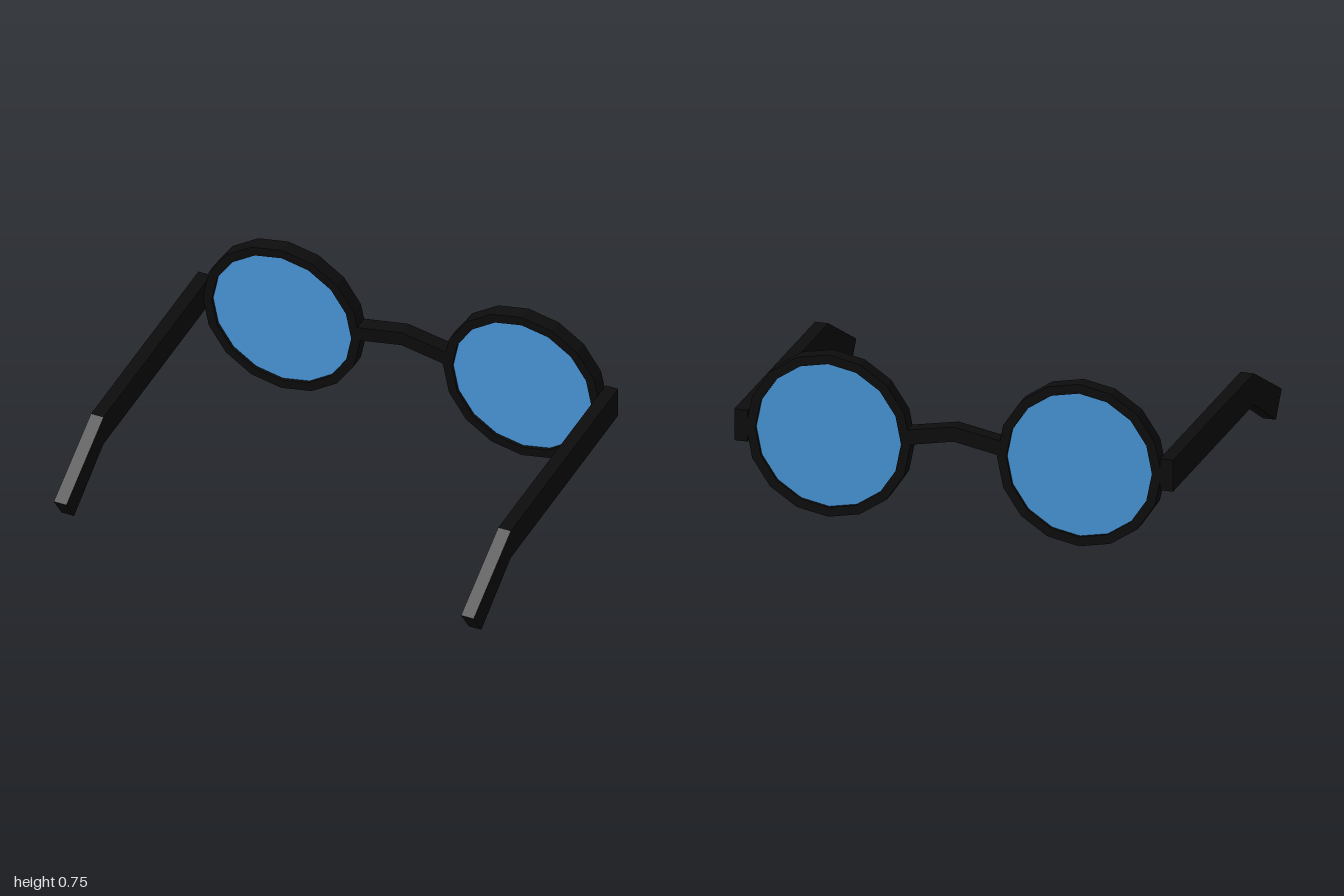
import * as THREE from 'three';

const black = new THREE.MeshStandardMaterial({ color: 0x0c0c0c, flatShading: true });
const blue = new THREE.MeshStandardMaterial({ color: 0x4a9ade, flatShading: true });

const SIDES = 16, BACK = -0.75, DEPTH = 0.07;
const LENS_X = 0.572, LENS_Y = 0.376, OUTER = 0.375, INNER = 0.332;

// Corners of a regular polygon around the origin
function ring(radius) {
  return Array.from({ length: SIDES }, (_, i) => {
    const a = (i / SIDES) * Math.PI * 2;
    return new THREE.Vector2(Math.cos(a) * radius, Math.sin(a) * radius);
  });
}

function extrude(name, shape, depth, material) {
  const mesh = new THREE.Mesh(
    new THREE.ExtrudeGeometry(shape, { depth, bevelEnabled: false }), material);
  mesh.name = name;
  return mesh;
}

function polygon(points) {
  return new THREE.Shape(points.map(([x, y]) => new THREE.Vector2(x, y)));
}

export function createModel() {
  const model = new THREE.Group();
  model.name = 'roundGlasses';

  for (const side of [1, -1]) {
    const label = side > 0 ? 'left' : 'right';

    // Rim with a polygonal opening
    const rimShape = new THREE.Shape(ring(OUTER));
    rimShape.holes.push(new THREE.Path(ring(INNER)));
    const rim = extrude(label + 'Rim', rimShape, DEPTH, black);
    rim.position.set(side * LENS_X, LENS_Y, BACK);

    // Tinted lens, set slightly inside the rim
    const lens = extrude(label + 'Lens', new THREE.Shape(ring(INNER)), DEPTH - 0.03, blue);
    lens.position.set(side * LENS_X, LENS_Y, BACK + 0.015);

    // Temple arm: side profile drawn as (-z, y), bent down at the ear
    const arm = extrude(label + 'Arm', polygon([
      [0.75, 0.45], [-0.365, 0.45], [-0.75, 0.24],
      [-0.67, 0.125], [-0.365, 0.305], [0.75, 0.305],
    ]), 0.06, black);
    arm.rotation.y = Math.PI / 2;
    arm.position.x = side > 0 ? 0.94 : -1;

    model.add(rim, lens, arm);
  }

  // Bridge peaked in the middle
  const bridge = extrude('bridge', polygon([
    [-0.21, 0.377], [0, 0.417], [0.21, 0.377],
    [0.21, 0.446], [0, 0.485], [-0.21, 0.446],
  ]), DEPTH, black);
  bridge.position.z = BACK;
  model.add(bridge);

  return model;
}
